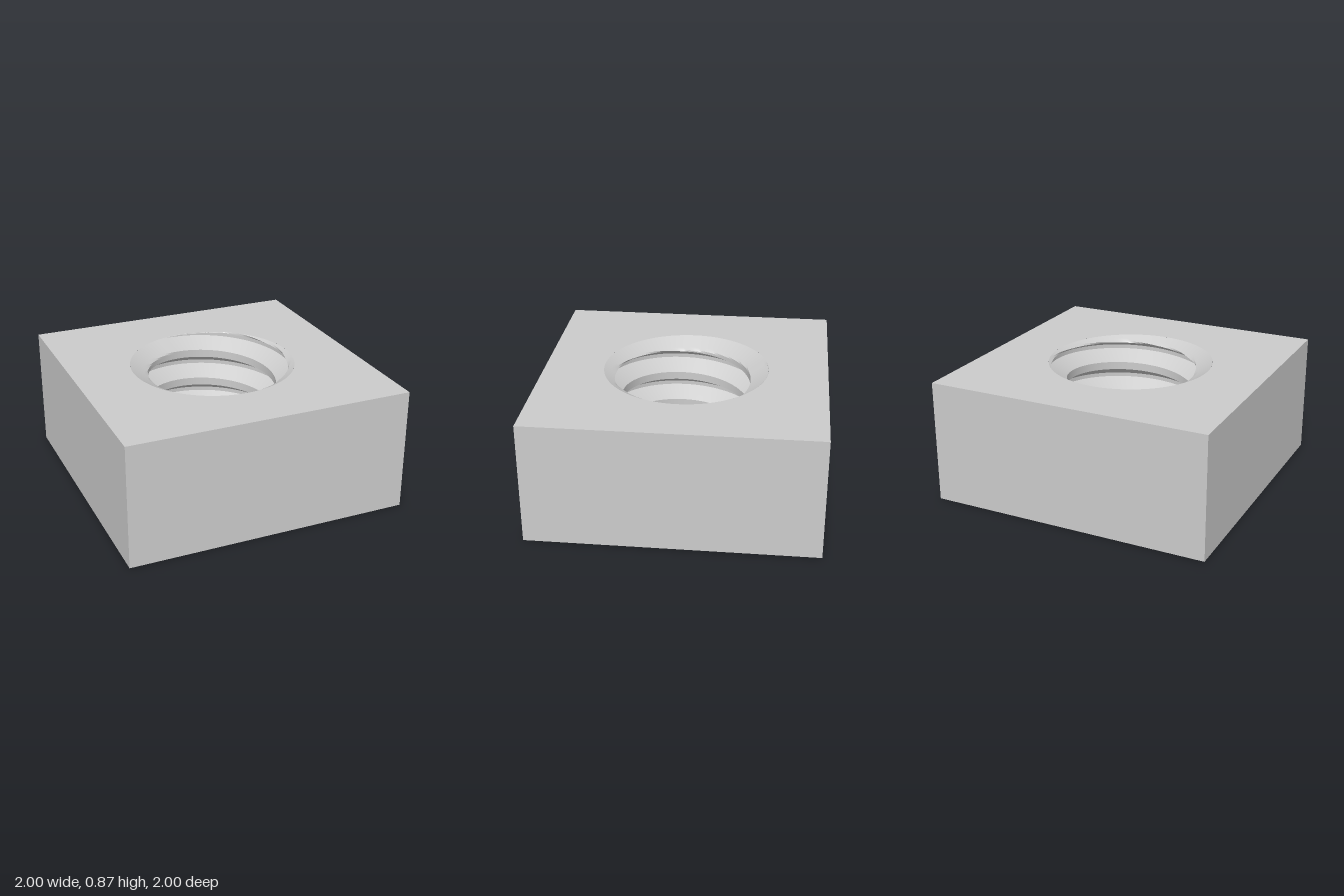
import * as THREE from 'three';
import { toCreasedNormals } from 'three/addons/utils/BufferGeometryUtils.js';

const H = 0.867;          // nut thickness
const PITCH = 0.2286;     // thread pitch
const MINOR = 0.457;      // crest radius of the internal thread
const MAJOR = 0.58;       // root radius
const LIP = 0.583;        // countersink radius at the faces
const SEG = 128;          // segments around the hole

// One pitch of the thread, going down: [drop / PITCH, radius]
const PROFILE = [[0, MINOR], [5 / 16, MAJOR], [7 / 16, MAJOR], [3 / 4, MINOR], [1, MINOR]];
const STEPS = 6;          // subdivisions of each profile segment

// Right-handed helical wall, opened by a 120 degree countersink at each end
function threadGeometry() {
  const rows = [];
  for (let turn = -1; turn < 4; turn++) {
    for (let k = 0; k < PROFILE.length - 1; k++) {
      const [d0, r0] = PROFILE[k], [d1, r1] = PROFILE[k + 1];
      for (let i = 0; i < STEPS; i++) {
        const t = i / STEPS;
        rows.push([(turn + d0 + (d1 - d0) * t) * PITCH, r0 + (r1 - r0) * t]);
      }
    }
  }
  rows.push([4 * PITCH, MINOR]);

  const point = (j, [drop, radius]) => {
    const a = (j / SEG) * Math.PI * 2;
    const helix = 0.748 + PITCH * (j / SEG - 125 / 360);
    const y = THREE.MathUtils.clamp(helix - drop, 0, H);
    const cone = LIP - Math.sqrt(3) * Math.min(y, H - y);
    const r = Math.max(radius, cone);
    return new THREE.Vector3(r * Math.cos(a), y, -r * Math.sin(a));
  };

  const positions = [];
  const tri = (...p) => {
    // rows clamped onto the end faces collapse, so skip empty triangles
    const area = p[1].clone().sub(p[0]).cross(p[2].clone().sub(p[0])).length();
    if (area > 1e-8) p.forEach((v) => positions.push(v.x, v.y, v.z));
  };
  for (let j = 0; j < SEG; j++) {
    for (let i = 0; i < rows.length - 1; i++) {
      const a = point(j, rows[i]), b = point(j + 1, rows[i]);
      const c = point(j, rows[i + 1]), d = point(j + 1, rows[i + 1]);
      tri(a, b, c);
      tri(b, d, c);
    }
  }
  const geo = new THREE.BufferGeometry();
  geo.setAttribute('position', new THREE.Float32BufferAttribute(positions, 3));
  return toCreasedNormals(geo, 0.5);
}

export function createModel() {
  const group = new THREE.Group();
  group.name = 'squareNut';
  const material = new THREE.MeshStandardMaterial({ color: 0xcccccc });
  const add = (name, geometry) => {
    const mesh = new THREE.Mesh(geometry, material);
    mesh.name = name;
    group.add(mesh);
    return mesh;
  };

  // Top and bottom faces: squares with a round opening
  const square = new THREE.Shape([[-1, -1], [1, -1], [1, 1], [-1, 1]].map((p) => new THREE.Vector2(...p)));
  square.holes.push(new THREE.Path().absarc(0, 0, LIP, 0, Math.PI * 2, true));
  const face = new THREE.ShapeGeometry(square, SEG);
  add('topFace', face.clone().rotateX(-Math.PI / 2).translate(0, H, 0));
  add('bottomFace', face.clone().rotateX(Math.PI / 2));

  // Four flat sides
  for (let i = 0; i < 4; i++) {
    const side = new THREE.PlaneGeometry(2, H).translate(0, H / 2, 1).rotateY(i * Math.PI / 2);
    add('side' + (i + 1), side);
  }

  // Threaded bore
  add('threadedHole', threadGeometry());
  return group;
}
